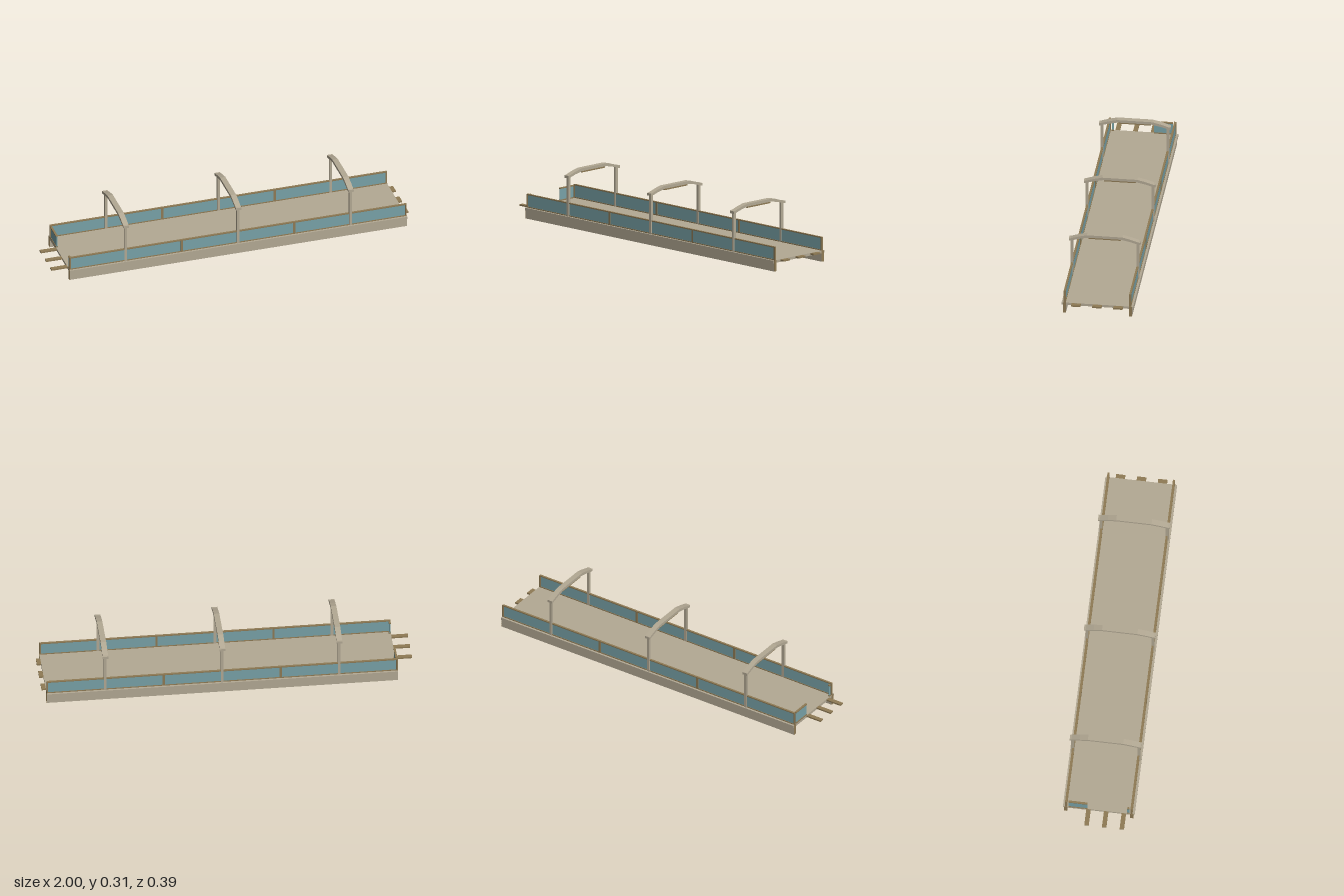
import * as THREE from 'three';

const mat = (name, color) => Object.assign(new THREE.MeshStandardMaterial({ color }), { name });

export function createModel() {
  const root = new THREE.Group();
  root.name = 'footbridge';
  const stone = mat('pale stone', 0xb3a994);
  const wood = mat('brown timber', 0x8f7b55);
  const glass = mat('teal glass', 0x78a2a8);

  const X0 = -0.91, X1 = 0.977;
  const mid = (X0 + X1) / 2, bay = (X1 - X0) / 3;

  // box given by its minimum and maximum on each axis
  const box = (name, m, x0, x1, y0, y1, z0, z1, parent = root) => {
    const mesh = new THREE.Mesh(new THREE.BoxGeometry(x1 - x0, y1 - y0, z1 - z0), m);
    mesh.position.set((x0 + x1) / 2, (y0 + y1) / 2, (z0 + z1) / 2);
    mesh.name = name;
    parent.add(mesh);
    return mesh;
  };
  const centred = (name, m, x, w, y0, y1, z, d, parent) =>
    box(name, m, x - w / 2, x + w / 2, y0, y1, z - d / 2, z + d / 2, parent);

  // walking deck
  box('deck', stone, X0, X1, 0.046, 0.06, -0.193, 0.193);

  // cross beams under the deck
  for (let i = 0; i < 6; i++) {
    centred('crossBeam', wood, X0 + bay * (i + 0.5) / 2, 0.03, 0.03, 0.046, 0, 0.345);
  }

  for (const s of [-1, 1]) {
    // side girder with timber end faces
    const girder = centred('sideGirder', stone, mid, X1 - X0, 0, 0.0465, s * 0.178, 0.017);
    girder.material = [wood, wood, stone, stone, stone, stone];
    for (const [x, d] of [[X0, -1], [X1, 1]]) {
      centred('girderEndCap', wood, x + d * 0.0005, 0.002, 0, 0.06, s * 0.178, 0.017);
    }

    // glazed side railing
    const railing = new THREE.Group();
    railing.name = 'sideRailing';
    root.add(railing);
    const z = s * 0.176;
    centred('railingGlass', glass, mid, X1 - X0 - 0.01, 0.064, 0.13, z, 0.005, railing);
    centred('topRail', wood, mid, X1 - X0, 0.128, 0.134, z, 0.011, railing);
    centred('bottomRail', wood, mid, X1 - X0, 0.06, 0.065, z, 0.011, railing);
    for (const x of [X0 + 0.004, X0 + bay, X0 + 2 * bay, X1 - 0.004]) {
      centred('railingPost', wood, x, x > X0 + 0.1 && x < X1 - 0.1 ? 0.012 : 0.008,
        0.06, 0.134, z, 0.011, railing);
    }
  }

  // short glazed screens across one end
  for (const [z0, z1] of [[-0.164, -0.062], [0.153, 0.165]]) {
    box('endScreenGlass', glass, X0 + 0.003, X0 + 0.008, 0.064, 0.127, z0, z1);
    box('endScreenTopRail', wood, X0, X0 + 0.011, 0.125, 0.131, z0, z1);
    box('endScreenBottomRail', wood, X0, X0 + 0.011, 0.06, 0.066, z0, z1);
  }

  // bent arch bar, drawn across the deck and extruded along it
  const top = [[0.193, 0.284], [0.183, 0.285], [0.14, 0.299], [0.095, 0.31]];
  const low = [[0.09, 0.295], [0.138, 0.285], [0.181, 0.272], [0.193, 0.27]];
  const flip = (pts) => pts.map(([z, y]) => [-z, y]).reverse();
  const outline = [...top, ...flip(top), ...flip(low), ...low];
  const archShape = new THREE.Shape(outline.map(([z, y]) => new THREE.Vector2(z, y)));
  const archGeometry = new THREE.ExtrudeGeometry(archShape, { depth: 0.03, bevelEnabled: false });
  archGeometry.translate(0, 0, -0.015);
  archGeometry.rotateY(Math.PI / 2);

  // portal frames
  for (let i = 0; i < 3; i++) {
    const x = X0 + bay * (i + 0.5);
    const frame = new THREE.Group();
    frame.name = 'portalFrame';
    root.add(frame);
    const arch = new THREE.Mesh(archGeometry, stone);
    arch.name = 'arch';
    arch.position.x = x;
    frame.add(arch);
    centred('archUnderStrip', wood, x, 0.02, 0.286, 0.296, 0, 0.172, frame);
    for (const s of [-1, 1]) {
      centred('framePost', stone, x, 0.014, 0.06, 0.277, s * 0.178, 0.016, frame);
    }
  }

  // planks jutting from both ends
  for (const z of [-0.055, 0.04, 0.135]) {
    box('longPlank', wood, -1, X0 + 0.002, 0.05, 0.058, z - 0.012, z + 0.012);
  }
  for (const z of [-0.113, 0, 0.114]) {
    box('shortPlank', wood, X1 - 0.002, 1, 0.05, 0.059, z - 0.025, z + 0.025);
  }
  return root;
}
